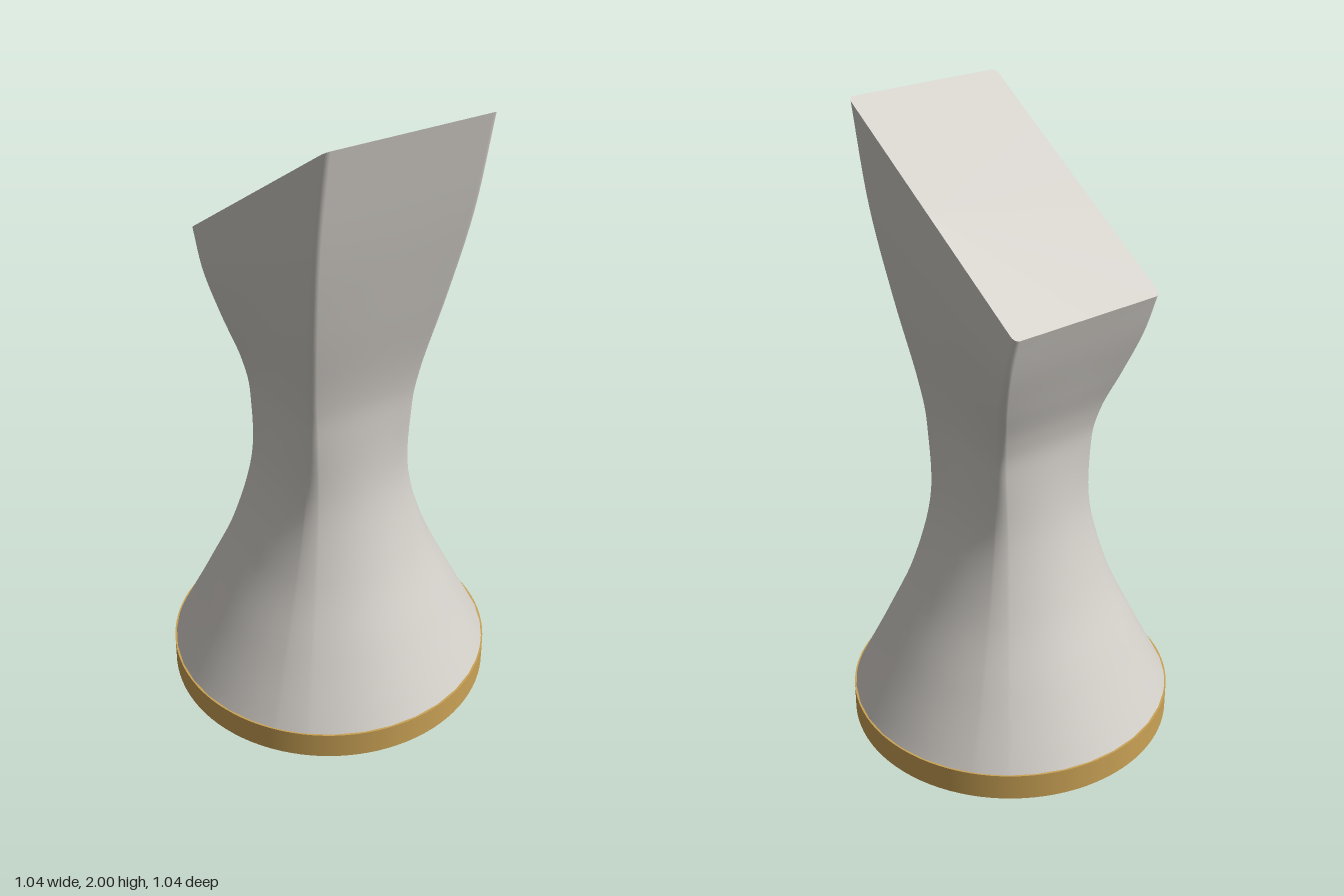
import * as THREE from 'three';

const stone = new THREE.MeshStandardMaterial({ color: 0xd3cfc9 });
stone.name = 'warmGrey';
const gold = new THREE.MeshStandardMaterial({ color: 0xcba356 });
gold.name = 'gold';

const BASE_H = 0.088;

// Sections: front y, front z, back y, back z, half width, squareness (0 round, 1 square)
const SECTIONS = [
  [0.088, 0.517, 0.088, -0.517, 0.517, 0],
  [0.3, 0.408, 0.3, -0.408, 0.408, 0.03],
  [0.52, 0.305, 0.52, -0.303, 0.303, 0.1],
  [0.76, 0.232, 0.76, -0.226, 0.224, 0.3],
  [1.0, 0.215, 0.98, -0.201, 0.2, 0.65],
  [1.16, 0.227, 1.1, -0.214, 0.206, 0.82],
  [1.42, 0.285, 1.23, -0.258, 0.235, 0.94],
  [1.7, 0.347, 1.37, -0.309, 0.26, 1],
  [2.0, 0.406, 1.5, -0.353, 0.267, 1],
];

// Angles round a section, crowded near the four corners
const QUADRANT = [0, 10, 20, 30, 38, 40, 42, 44, 46, 48, 50, 52, 60, 70, 80];
const ANGLES = [0, 90, 180, 270].flatMap((q) => QUADRANT.map((d) => q + d));

// Point of a rounded rectangle (half sizes a, b) in the first quadrant
function rectPoint(deg, a, b) {
  const r = 0.018;
  if (deg <= 38) return [a, (deg / 38) * (b - r)];
  if (deg >= 52) return [((90 - deg) / 38) * (a - r), b];
  const t = ((deg - 38) / 14) * Math.PI / 2;
  return [a - r + r * Math.cos(t), b - r + r * Math.sin(t)];
}

// Smooth interpolation of one section column
function sample(col, u) {
  const n = SECTIONS.length - 1;
  const i = Math.min(Math.floor(u * n), n - 1);
  const f = u * n - i;
  const at = (k) => SECTIONS[k][col];
  const p1 = at(i), p2 = at(i + 1);
  const m1 = i > 0 ? (p2 - at(i - 1)) / 2 : p2 - p1;
  const m2 = i < n - 1 ? (at(i + 2) - p1) / 2 : p2 - p1;
  const f2 = f * f, f3 = f2 * f;
  return (2 * f3 - 3 * f2 + 1) * p1 + (f3 - 2 * f2 + f) * m1
    + (3 * f2 - 2 * f3) * p2 + (f3 - f2) * m2;
}

function ring(u) {
  const [yF, zF, yB, zB, a, sq] = [0, 1, 2, 3, 4, 5].map((c) => sample(c, u));
  const b = (zF - zB) / 2;
  return ANGLES.map((deg) => {
    const t = THREE.MathUtils.degToRad(deg);
    const quadrant = Math.floor(deg / 90);
    const local = quadrant % 2 ? 90 - (deg % 90) : deg % 90;
    const [rx, rz] = rectPoint(local, a, b);
    const sx = quadrant === 0 || quadrant === 3 ? 1 : -1;
    const sz = quadrant < 2 ? 1 : -1;
    const x = THREE.MathUtils.lerp(a * Math.cos(t), sx * rx, sq);
    const z = THREE.MathUtils.lerp(b * Math.sin(t), sz * rz, sq);
    // tilt the section between its back and front heights
    return [x, THREE.MathUtils.lerp(yB, yF, (z / b + 1) / 2), z + (zF + zB) / 2];
  });
}

function makeGeometry(points, index) {
  const g = new THREE.BufferGeometry();
  g.setAttribute('position', new THREE.Float32BufferAttribute(points.flat(), 3));
  g.setIndex(index);
  g.computeVertexNormals();
  return g;
}

function mesh(name, geometry, material) {
  const m = new THREE.Mesh(geometry, material);
  m.name = name;
  return m;
}

export function createModel() {
  const group = new THREE.Group();
  group.name = 'slantedPedestal';
  const N = ANGLES.length, ROWS = 48;

  // Lofted body, round at the foot and rectangular at the top
  const points = [], index = [];
  for (let r = 0; r <= ROWS; r++) points.push(...ring(r / ROWS));
  for (let r = 0; r < ROWS; r++) {
    for (let i = 0; i < N; i++) {
      const j = (i + 1) % N;
      const a = r * N + i, b = r * N + j;
      index.push(a, a + N, b, b, a + N, b + N);
    }
  }
  group.add(mesh('body', makeGeometry(points, index), stone));

  // Flat sloping top
  const rim = ring(1);
  const capIndex = [];
  for (let i = 1; i < N - 1; i++) capIndex.push(0, i + 1, i);
  group.add(mesh('slopingTop', makeGeometry(rim, capIndex), stone));

  // Gold disc under the foot
  const disc = mesh('baseDisc', new THREE.CylinderGeometry(0.522, 0.522, BASE_H, 96), gold);
  disc.position.y = BASE_H / 2;
  group.add(disc);

  return group;
}
